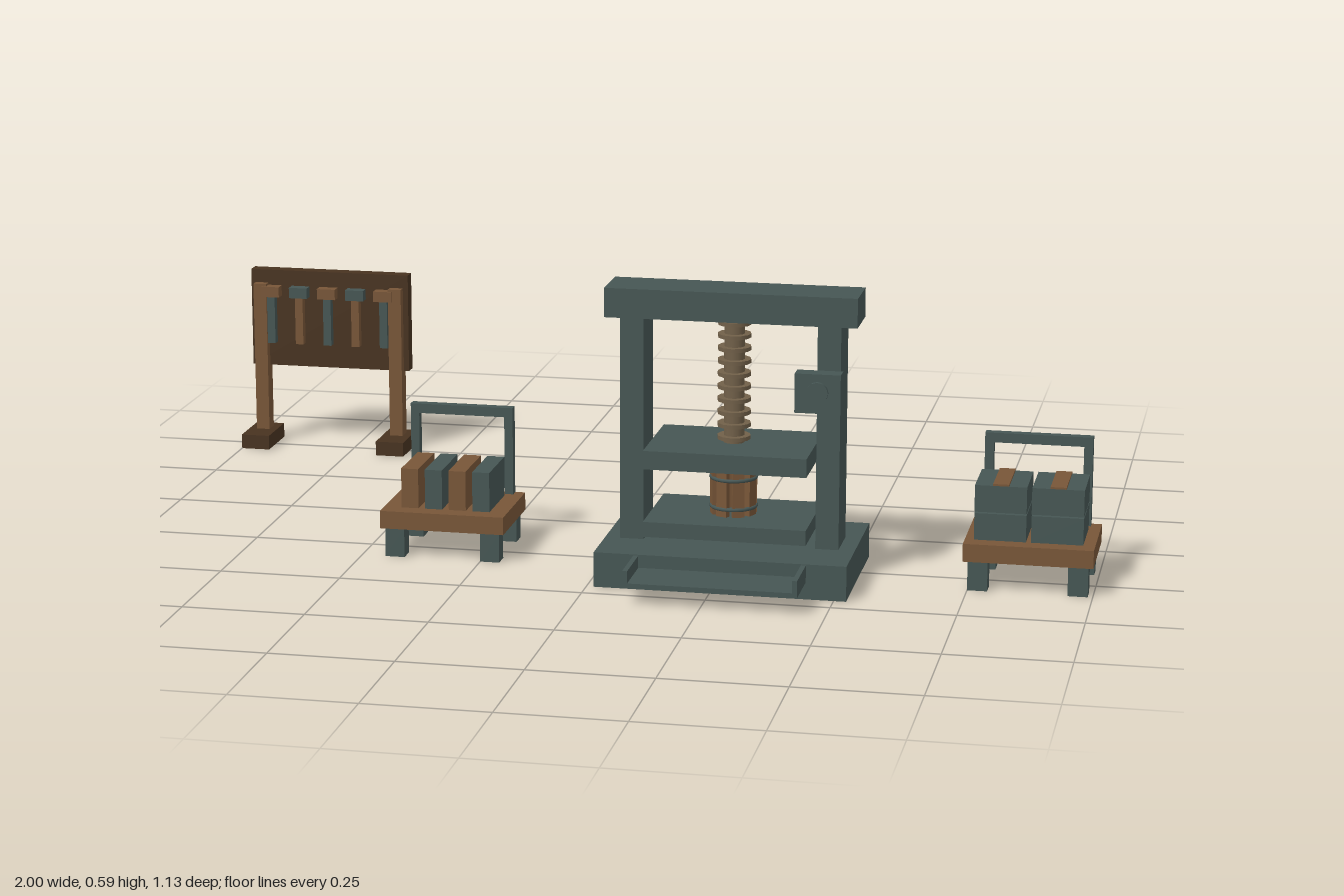
import * as THREE from 'three';

const mat = (name, color, extra = {}) => {
  const m = new THREE.MeshStandardMaterial({ color });
  m.name = name;
  return Object.assign(m, extra);
};

export function createModel() {
  const iron = mat('iron', 0x465654);
  const wood = mat('wood', 0x785638);
  const darkWood = mat('dark wood', 0x483320);
  const bronze = mat('bronze', 0x716049);

  const group = (name, parent) => {
    const g = new THREE.Group();
    g.name = name;
    parent.add(g);
    return g;
  };
  // Box given by its min and max on each axis
  const box = (parent, name, material, [x0, x1], [y0, y1], [z0, z1]) => {
    const m = new THREE.Mesh(new THREE.BoxGeometry(x1 - x0, y1 - y0, z1 - z0), material);
    m.position.set((x0 + x1) / 2, (y0 + y1) / 2, (z0 + z1) / 2);
    m.name = name;
    parent.add(m);
    return m;
  };
  const cyl = (parent, name, material, r, h, x, y, z, sides = 12) => {
    const m = new THREE.Mesh(new THREE.CylinderGeometry(r, r, h, sides), material);
    m.position.set(x, y, z);
    m.name = name;
    parent.add(m);
    return m;
  };

  const model = new THREE.Group();
  model.name = 'pressWorkshop';

  // Screw press frame
  const press = group('press', model);
  const cx = 0.27, cz = 0.295;
  box(press, 'base', iron, [0.015, 0.525], [0, 0.072], [0.135, 0.455]);
  box(press, 'leftColumn', iron, [0.445, 0.492], [0.072, 0.53], [0.247, 0.343]);
  box(press, 'rightColumn', iron, [0.046, 0.094], [0.072, 0.53], [0.247, 0.343]);
  box(press, 'topBeam', iron, [0.015, 0.525], [0.53, 0.59], [0.242, 0.35]);
  box(press, 'pressPlate', iron, [0.105, 0.435], [0.235, 0.273], [0.187, 0.405]);
  box(press, 'bedPlate', iron, [0.105, 0.435], [0.095, 0.126], [0.187, 0.405]);

  // Threaded screw
  cyl(press, 'screwCore', bronze, 0.021, 0.27, cx, 0.4, cz);
  for (let i = 0; i < 10; i++) {
    cyl(press, 'screwThread', bronze, 0.034, 0.008, cx, 0.284 + i * 0.0262, cz);
  }

  // Slatted basket between the plates
  const basket = group('basket', press);
  for (let i = 0; i < 8; i++) {
    const a = ((i + 0.5) * Math.PI) / 4;
    const s = box(basket, 'stave', wood, [-0.012, 0.012], [0.126, 0.22], [-0.006, 0.006]);
    s.position.x = cx + Math.sin(a) * 0.04;
    s.position.z = cz + Math.cos(a) * 0.04;
    s.rotation.y = a;
  }
  for (const y of [0.142, 0.202]) {
    const band = new THREE.Mesh(new THREE.TorusGeometry(0.046, 0.004, 6, 20), iron);
    band.rotation.x = Math.PI / 2;
    band.position.set(cx, y, cz);
    band.name = 'basketBand';
    basket.add(band);
  }

  // Collecting tray
  const tray = group('tray', press);
  box(tray, 'trayFloor', iron, [0.096, 0.444], [0.035, 0.045], [0.455, 0.565]);
  box(tray, 'trayLeftRim', iron, [0.434, 0.444], [0.045, 0.07], [0.455, 0.565]);
  box(tray, 'trayRightRim', iron, [0.096, 0.106], [0.045, 0.07], [0.455, 0.565]);

  // Control box with a dial
  box(press, 'controlBox', iron, [0.405, 0.497], [0.36, 0.44], [0.343, 0.377]);
  const dial = cyl(press, 'dial', iron, 0.022, 0.008, 0.451, 0.403, 0.381);
  dial.rotation.x = Math.PI / 2;

  // Carts
  const cart = (name, x) => {
    const g = group(name, model);
    g.position.x = x;
    box(g, 'deck', wood, [-0.13, 0.13], [0.06, 0.097], [0.135, 0.333]);
    for (const s of [-1, 1]) {
      for (const z of [0.156, 0.311]) {
        box(g, 'foot', iron, [s * 0.1 - 0.02, s * 0.1 + 0.02], [0, 0.06], [z - 0.018, z + 0.018]);
      }
      box(g, 'handlePost', iron, [s * 0.1 - 0.009, s * 0.1 + 0.009], [0.097, 0.262], [0.136, 0.155]);
    }
    box(g, 'handleBar', iron, [-0.109, 0.109], [0.262, 0.282], [0.136, 0.155]);
    return g;
  };

  // Cart of upright slabs
  const slabCart = cart('slabCart', -0.33);
  for (let i = 0; i < 4; i++) {
    const x = -0.075 + i * 0.05;
    box(slabCart, 'slab', i % 2 ? iron : wood, [x - 0.018, x + 0.018], [0.097, 0.18], [0.165, 0.298]);
  }

  // Cart of stacked crates with straps on top
  const crateCart = cart('crateCart', 0.87);
  for (const x of [-0.06, 0.054]) {
    for (const y of [0.097, 0.155]) {
      box(crateCart, 'crate', iron, [x - 0.052, x + 0.052], [y, y + 0.055], [0.172, 0.298]);
    }
    box(crateCart, 'strap', wood, [x - 0.016, x + 0.016], [0.21, 0.214], [0.172, 0.298]);
  }

  // Tool board on two posts
  const board = group('toolBoard', model);
  box(board, 'panel', darkWood, [-0.993, -0.625], [0.18, 0.402], [-0.555, -0.525]);
  for (const x of [-0.968, -0.652]) {
    box(board, 'post', wood, [x - 0.015, x + 0.015], [0.032, 0.372], [-0.54, -0.506]);
    box(board, 'foot', darkWood, [x - 0.032, x + 0.032], [0, 0.032], [-0.565, -0.445]);
  }
  for (let i = 0; i < 5; i++) {
    const x = -0.943 + i * 0.066;
    box(board, 'toolShaft', i % 2 ? wood : iron, [x - 0.009, x + 0.009], [0.235, 0.345], [-0.525, -0.507]);
    box(board, 'toolHead', i % 2 ? iron : wood, [x - 0.021, x + 0.021], [0.343, 0.367], [-0.525, -0.501]);
  }
  return model;
}
